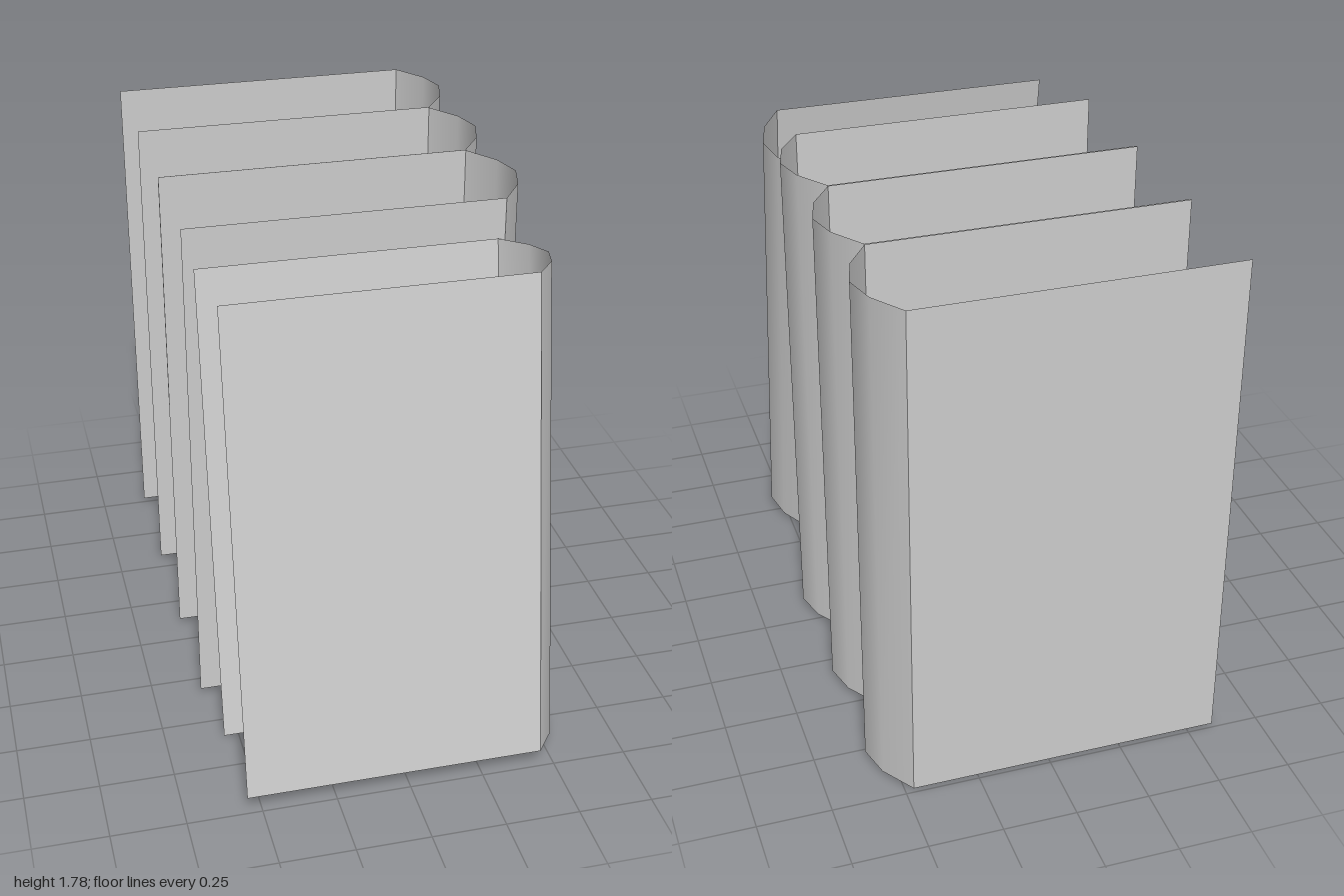
import * as THREE from 'three';
import { toCreasedNormals } from 'three/addons/utils/BufferGeometryUtils.js';

const material = new THREE.MeshStandardMaterial({ color: 0xcccccc, side: THREE.DoubleSide });

// Thin open cover: front board, rounded spine, back board; bottom front edge at z = 0
function coverGeometry(height, thickness, left, hinge, bulge) {
  const profile = [
    [left, 0], [hinge, 0],
    [hinge + bulge * 0.72, -thickness * 0.25],
    [hinge + bulge, -thickness * 0.5],
    [hinge + bulge * 0.72, -thickness * 0.75],
    [hinge, -thickness], [left, -thickness],
  ];
  const positions = [];
  for (let i = 0; i < profile.length - 1; i++) {
    const [ax, az] = profile[i];
    const [bx, bz] = profile[i + 1];
    positions.push(ax, 0, az, bx, 0, bz, bx, height, bz);
    positions.push(ax, 0, az, bx, height, bz, ax, height, az);
  }
  const geometry = new THREE.BufferGeometry();
  geometry.setAttribute('position', new THREE.Float32BufferAttribute(positions, 3));
  return toCreasedNormals(geometry, 0.65);
}

export function createModel() {
  const group = new THREE.Group();
  group.name = 'bookRow';

  // Three upright books side by side
  const upright = coverGeometry(1.765, 0.441, -0.585, 0.475, 0.105);
  for (let i = 0; i < 3; i++) {
    const book = new THREE.Mesh(upright, material);
    book.name = `uprightBook${i + 1}`;
    book.position.set(0, 0.017, 0.333 - i * 0.446);
    group.add(book);
  }

  // Smaller book leaning back against the row
  const leaning = new THREE.Mesh(coverGeometry(1.664, 0.415, -0.55, 0.45, 0.098), material);
  leaning.name = 'leaningBook';
  leaning.position.set(0, 0.063, 1);
  leaning.rotation.x = -0.152;
  group.add(leaning);

  return group;
}
